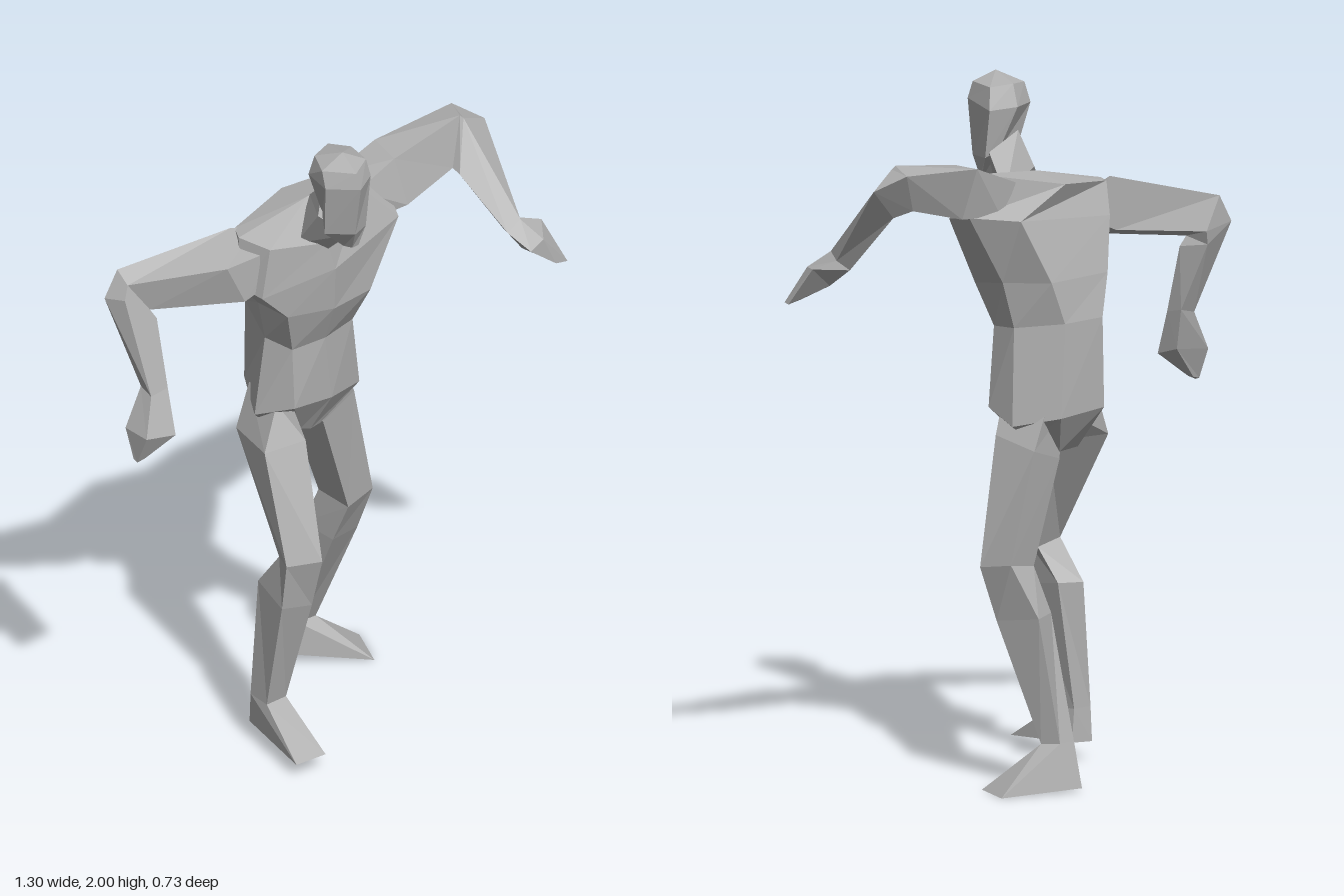
import * as THREE from 'three';

const grey = new THREE.MeshStandardMaterial({ color: 0xb0b0b0, flatShading: true });
grey.name = 'grey';

const centre = (ring) => [0, 1, 2].map((k) => ring.reduce((s, p) => s + p[k], 0) / ring.length);

// Joins cross-sections into a closed, faceted skin; endTip closes the last ring to a point
function loft(name, rings, endTip) {
  const tris = [];
  const n = rings[0].length;
  const last = rings[rings.length - 1];
  const startTip = centre(rings[0]);
  const tip = endTip || centre(last);
  for (let i = 0; i < n; i++) {
    const j = (i + 1) % n;
    for (let r = 0; r + 1 < rings.length; r++) {
      const [a, b, c, d] = [rings[r][i], rings[r][j], rings[r + 1][j], rings[r + 1][i]];
      tris.push([a, b, c], [a, c, d]);
    }
    tris.push([rings[0][j], rings[0][i], startTip], [last[i], last[j], tip]);
  }
  // Turn all faces outward, judged by the enclosed volume
  const v = (p) => new THREE.Vector3(...p);
  const o = v(startTip);
  const volume = tris.reduce((s, [a, b, c]) =>
    s + v(a).sub(o).dot(v(b).sub(o).cross(v(c).sub(o))), 0);
  if (volume < 0) tris.forEach((t) => t.reverse());
  const geo = new THREE.BufferGeometry();
  geo.setAttribute('position', new THREE.Float32BufferAttribute(tris.flat(2), 3));
  geo.computeVertexNormals();
  const mesh = new THREE.Mesh(geo, grey);
  mesh.name = name;
  return mesh;
}

// Torso, crotch to shoulders: right, front right, front centre, front left, left, back left, back right
const torso = [
  [[-.13, .99, -.06], [-.06, .97, 0], [-.02, .955, 0], [.02, .96, 0], [.1, .98, -.09], [.04, .95, -.15], [-.06, .95, -.13]],
  [[-.21, 1.06, -.03], [-.15, 1.1, .075], [0, 1.08, .07], [.135, 1.07, .04], [.165, 1.03, -.08], [.1, 1.06, -.21], [-.09, 1.07, -.205]],
  [[-.17, 1.3, -.03], [-.15, 1.29, .065], [-.03, 1.29, .075], [.09, 1.3, .06], [.125, 1.31, -.05], [.06, 1.33, -.19], [-.1, 1.33, -.19]],
  [[-.215, 1.44, -.01], [-.2, 1.43, .1], [-.04, 1.41, .125], [.1, 1.42, .125], [.14, 1.44, -.02], [.09, 1.45, -.165], [-.16, 1.45, -.155]],
  [[-.3, 1.53, .01], [-.29, 1.52, .09], [-.05, 1.55, .14], [.21, 1.62, .125], [.25, 1.64, .01], [.15, 1.63, -.1], [-.23, 1.6, -.1]],
  [[-.3, 1.69, 0], [-.26, 1.67, .09], [-.07, 1.64, .13], [.1, 1.74, .085], [.22, 1.765, .01], [-.04, 1.715, -.1], [-.27, 1.69, -.05]],
];

// Head, chin to crown
const head = [
  [[-.11, 1.69, .24], [-.1, 1.69, .265], [-.075, 1.69, .265], [-.055, 1.69, .24], [-.07, 1.7, .22], [-.1, 1.7, .22]],
  [[-.175, 1.75, .23], [-.12, 1.755, .3], [-.06, 1.755, .28], [-.015, 1.76, .19], [-.045, 1.78, .165], [-.13, 1.78, .17]],
  [[-.19, 1.91, .25], [-.13, 1.92, .335], [-.05, 1.92, .29], [-.012, 1.9, .17], [-.075, 1.91, .118], [-.165, 1.91, .15]],
  [[-.185, 1.96, .23], [-.13, 1.965, .315], [-.055, 1.97, .275], [-.03, 1.965, .185], [-.08, 1.975, .14], [-.15, 1.97, .16]],
];
const neck = [
  [[-.14, 1.64, .07], [-.07, 1.62, .13], [.02, 1.67, .08], [-.05, 1.75, .03]],
  [[-.155, 1.78, .18], [-.08, 1.71, .23], [-.01, 1.78, .17], [-.09, 1.84, .13]],
];

// Arms: shoulder, upper arm, elbow (two rings), wrist, knuckles, fingertips
const leftArm = [
  [[.1, 1.72, .07], [.18, 1.62, .09], [.16, 1.64, -.03], [.1, 1.73, -.04]],
  [[.23, 1.785, .085], [.25, 1.64, .12], [.28, 1.64, .01], [.26, 1.79, -.03]],
  [[.5, 1.82, .07], [.445, 1.68, .1], [.48, 1.69, .02], [.55, 1.805, -.02]],
  [[.51, 1.81, .075], [.445, 1.67, .13], [.52, 1.67, .06], [.615, 1.76, .05]],
  [[.54, 1.55, .285], [.495, 1.52, .28], [.53, 1.5, .22], [.565, 1.53, .24]],
  [[.57, 1.5, .35], [.53, 1.47, .34], [.55, 1.45, .28], [.635, 1.51, .27]],
  [[.65, 1.405, .365], [.61, 1.41, .36], [.61, 1.41, .34], [.65, 1.4, .35]],
];
const rightArm = [
  [[-.2, 1.65, .07], [-.22, 1.55, .07], [-.22, 1.58, -.04], [-.2, 1.67, -.04]],
  [[-.39, 1.64, .05], [-.33, 1.515, .06], [-.31, 1.54, -.05], [-.29, 1.7, -.045]],
  [[-.605, 1.59, -.14], [-.545, 1.5, -.11], [-.55, 1.52, -.185], [-.6, 1.62, -.19]],
  [[-.625, 1.55, -.13], [-.528, 1.47, -.1], [-.56, 1.48, -.18], [-.645, 1.54, -.195]],
  [[-.6, 1.26, -.045], [-.54, 1.27, -.04], [-.545, 1.28, -.09], [-.59, 1.27, -.1]],
  [[-.655, 1.155, -.005], [-.555, 1.14, .01], [-.56, 1.16, -.06], [-.65, 1.155, -.1]],
  [[-.65, 1.06, -.05], [-.63, 1.07, -.04], [-.63, 1.07, -.06], [-.65, 1.065, -.065]],
];

// Legs: front outer, front inner, back inner, back outer at hip, thigh, knee, calf, ankle
const leftLeg = [
  [[.12, 1.09, 0], [.08, 1.06, .02], [.02, 1.06, -.14], [.1, 1.1, -.16]],
  [[.17, 1, -.02], [.03, .96, 0], [.04, .93, -.15], [.175, .97, -.175]],
  [[.27, .63, -.05], [.165, .61, -.04], [.15, .63, -.15], [.275, .65, -.175]],
  [[.265, .48, -.11], [.16, .48, -.1], [.142, .5, -.21], [.25, .5, -.26]],
  [[.24, .135, -.26], [.175, .135, -.265], [.165, .14, -.32], [.225, .14, -.32]],
];
const leftSole = [[.42, 0, -.27], [.35, 0, -.13], [.125, .04, -.29], [.18, .01, -.365]];
const rightLeg = [
  [[-.17, 1.1, .02], [-.14, 1.09, .06], [-.04, 1.05, -.1], [-.14, 1.1, -.13]],
  [[-.235, .97, .04], [-.13, 1, .1], [-.055, .95, -.02], [-.19, .97, -.13]],
  [[-.255, .65, .155], [-.175, .665, .22], [-.13, .62, .09], [-.215, .64, .08]],
  [[-.25, .5, .13], [-.17, .5, .17], [-.145, .52, .025], [-.21, .52, -.015]],
  [[-.245, .155, .06], [-.17, .155, .06], [-.165, .155, -.02], [-.235, .155, -.02]],
];
const rightSole = [[-.29, .045, .235], [-.185, .045, .245], [-.145, .06, -.03], [-.225, .055, -.035]];

export function createModel() {
  const model = new THREE.Group();
  model.name = 'lowPolyFigure';
  model.add(
    loft('torso', torso, [-.05, 1.74, .02]),
    loft('head', head, [-.115, 2, .24]),
    loft('neck', neck),
    loft('leftArm', leftArm),
    loft('rightArm', rightArm),
    loft('leftLeg', leftLeg),
    loft('rightLeg', rightLeg),
    loft('leftFoot', [leftLeg[4], leftSole]),
    loft('rightFoot', [rightLeg[4], rightSole]),
  );
  return model;
}
